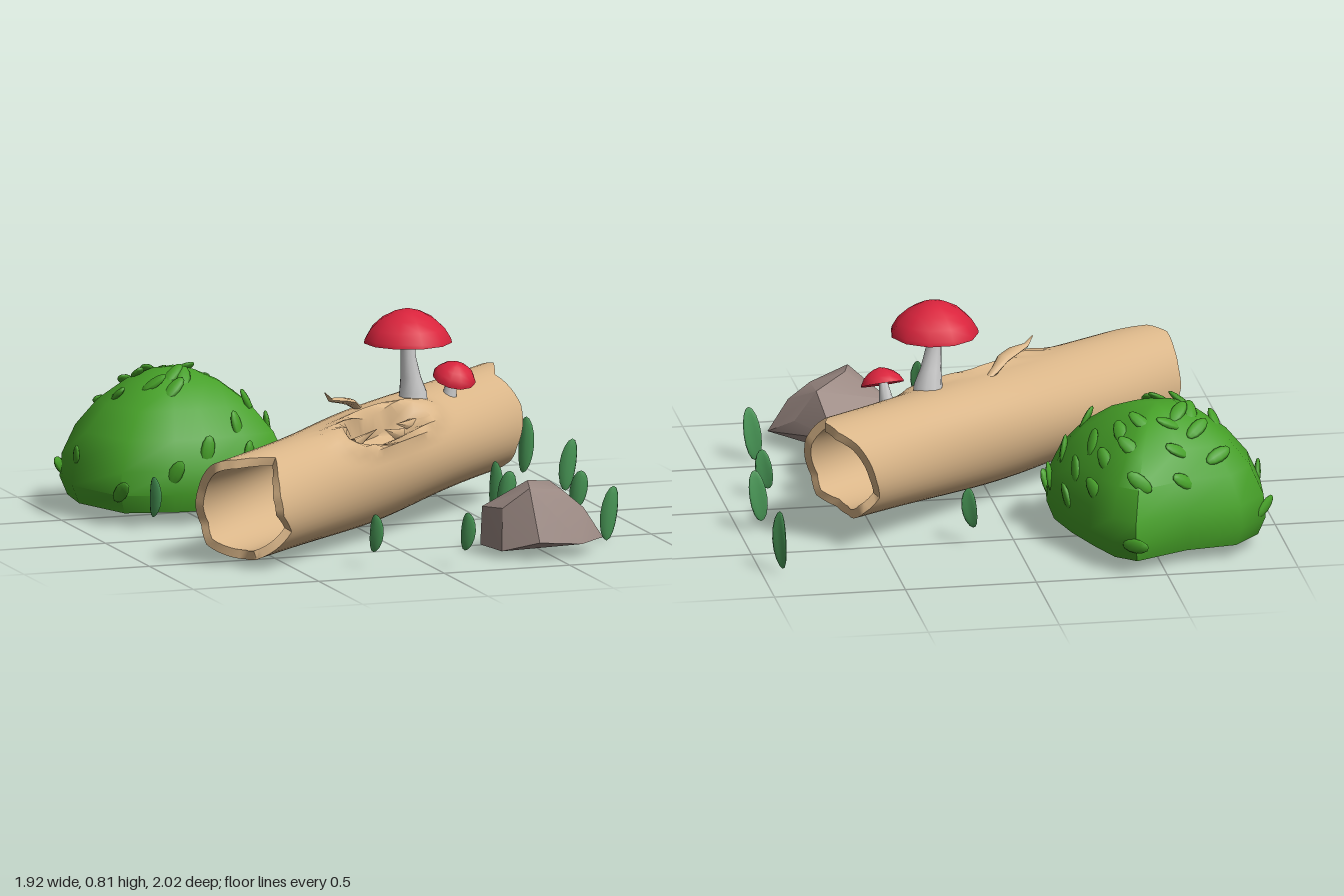
import * as THREE from 'three';
import { toCreasedNormals } from 'three/addons/utils/BufferGeometryUtils.js';
import { ConvexGeometry } from 'three/addons/geometries/ConvexGeometry.js';

const mat = (color) => new THREE.MeshStandardMaterial({ color, side: THREE.DoubleSide });
const wood = mat(0xd9b588), green = mat(0x46a028), blade = mat(0x4a9a58);
const red = mat(0xd9233c), stone = mat(0x9a8882), grey = mat(0xcccccc);

function add(parent, name, geometry, material) {
  const mesh = new THREE.Mesh(geometry, material);
  mesh.name = name;
  parent.add(mesh);
  return mesh;
}

// Skin over rings of [x, y, z]; closed joins the last ring to the first
function loft(rings, closed = false, crease = 0.9) {
  const n = rings[0].length, m = rings.length, index = [];
  for (let j = 0; j < (closed ? m : m - 1); j++) {
    for (let i = 0; i < n; i++) {
      const a = j * n + i, b = j * n + (i + 1) % n;
      const k = ((j + 1) % m) * n, c = k + i, d = k + (i + 1) % n;
      index.push(a, c, b, b, c, d);
    }
  }
  const g = new THREE.BufferGeometry();
  g.setAttribute('position', new THREE.Float32BufferAttribute(rings.flat(2), 3));
  g.setIndex(index);
  return toCreasedNormals(g, crease);
}

const ringOf = (n, fn) => Array.from({ length: n }, (_, i) => fn(i * 2 * Math.PI / n));

// Upright tapered stem from [x, y, z, radius] stations
const stem = (stations) => loft(stations.map(([x, y, z, r]) =>
  ringOf(10, (f) => [x + r * Math.cos(f), y, z + r * Math.sin(f)])));

// Value from a table spread around the circle
function around(table, f) {
  const s = f / (2 * Math.PI) * table.length, i = Math.floor(s);
  return THREE.MathUtils.lerp(table[i % table.length], table[(i + 1) % table.length], s - i);
}

function makeLog() {
  const log = new THREE.Group();
  log.name = 'log';
  log.position.set(-0.01, 0, 0.1);
  log.rotation.y = 0.675;

  // Jagged end lengths around the trunk
  const left = [.876, .87, .82, .74, .9, .93, .9, .88, .874, .85, .88, .85, .83, .87, .84, .8];
  const right = [.824, .84, .83, .82, .93, .94, .9, .88, .862, .83, .87, .85, .8, .78, .82, .8];
  const steps = 44, sides = 48;
  const centreY = (t) => 0.268 + 0.045 * t;
  const radius = (t, f) => {
    const d = Math.hypot((t + 0.03) / 0.28, (f - 0.96) / 0.4);
    let r = 0.197 + 0.018 * Math.exp(-t * t * 6) + 0.004 * Math.sin(3 * f + 4 * t);
    r += 0.018 * Math.exp(-(((d - 1.15) / 0.22) ** 2));
    return r - 0.1 * THREE.MathUtils.smoothstep(1 - d, 0, 0.45);
  };
  const ring = (s, wall) => ringOf(sides, (f) => {
    const t = THREE.MathUtils.lerp(-around(left, f), around(right, f), s);
    const r = radius(t, f) - wall;
    return [t, centreY(t) + r * Math.sin(f), r * Math.cos(f)];
  });
  const rings = [];
  for (let j = 0; j <= steps; j++) rings.push(ring(j / steps, 0));
  for (let j = steps; j >= 0; j--) rings.push(ring(j / steps, 0.035));
  add(log, 'hollowTrunk', loft(rings, true), wood);

  // Peeling splinter: [along, y, across, half width, half thickness]
  const peel = [[-.21, .57, -.035, .003, .003], [-.18, .54, -.03, .012, .008], [-.12, .53, -.02, .03, .012],
    [-.06, .515, -.02, .03, .014], [.0, .49, -.035, .02, .014], [.06, .46, -.04, .01, .01]];
  add(log, 'peelingBark', loft(peel.map(([t, y, p, w, h]) =>
    ringOf(8, (f) => [t, y + h * Math.sin(f), p + w * Math.cos(f)]))), wood);

  // Splinters leaning across the hollow
  for (const [t, y, p, len, tilt] of [[-.14, .405, .1, .16, -1.3], [.02, .4, .12, .14, 1.25], [.14, .41, .1, .14, 1.4]]) {
    const s = add(log, 'splinter', new THREE.ConeGeometry(0.03, len, 5), wood);
    s.position.set(t, y, p);
    s.rotation.set(0.3, 0, tilt);
    s.scale.z = 0.7;
  }
  return log;
}

function makeMushroom(name, radius, height, capAt, tilt, stations) {
  const g = new THREE.Group();
  g.name = name;
  const profile = [[0, .12], [.5, .09], [.93, .02], [1, 0], [.98, .12], [.84, .42], [.6, .7], [.3, .9], [0, 1]]
    .map(([x, y]) => new THREE.Vector2(x * radius, y * height));
  const cap = add(g, 'mushroomCap', toCreasedNormals(new THREE.LatheGeometry(profile, 11), 0.75), red);
  cap.position.set(...capAt);
  cap.rotation.set(...tilt);
  add(g, 'mushroomStem', stem(stations), grey);
  return g;
}

function makeBush() {
  const bush = new THREE.Group();
  bush.name = 'bush';
  const outline = [[-.38, -1], [-.3, -.93], [-.24, -.78], [-.18, -.6], [-.14, -.42], [-.16, -.3], [-.32, -.25],
    [-.5, -.22], [-.64, -.23], [-.84, -.28], [-.94, -.55], [-.92, -.75], [-.81, -.87], [-.6, -.9]];
  const cx = -0.53, cz = -0.58;
  // [height, scale of outline]
  const levels = [[.055, 0], [.055, .5], [.06, .93], [.13, 1], [.22, .98], [.33, .86], [.43, .66], [.51, .4], [.545, .2], [.555, 0]];
  const at = ([x, z], [y, s]) => [cx + (x - cx) * s, y, cz + (z - cz) * s];
  add(bush, 'foliage', loft(levels.map((l) => outline.map((p) => at(p, l))), false, 1.0), green);

  // Small leaves scattered over the dome, pointing up and outward
  const leaf = new THREE.SphereGeometry(1, 8, 6);
  leaf.scale(0.028, 0.058, 0.013);
  for (let i = 0; i < 34; i++) {
    const level = 3 + (i * 0.618 % 1) * 5, k = Math.floor(level), w = level - k;
    const l = [0, 1].map((c) => THREE.MathUtils.lerp(levels[k][c], levels[k + 1][c], w));
    const p = new THREE.Vector3(...at(outline[(i * 5 + Math.floor(i / 14)) % 14], l));
    const m = add(bush, 'bushLeaf', leaf, green);
    m.position.copy(p);
    m.lookAt(p.clone().add(new THREE.Vector3((p.x - cx) * 1.2, (p.y - 0.12) * 1.1, (p.z - cz) * 1.2)));
    m.rotateZ((i * 1.9) % 3 - 1.5);
    m.rotateX(0.4);
  }
  return bush;
}

function makeRock() {
  const points = [[.52, .12, .44], [.5, .05, .5], [.27, .04, .64], [.27, .19, .66], [.3, .04, .8], [.31, .2, .78],
    [.42, .08, .89], [.4, .28, .83], [.43, .29, .72], [.56, .26, .6], [.56, .25, .74], [.6, .06, .86],
    [.64, .14, .62], [.64, .18, .76], [.72, .06, .75], [.48, .025, .7]].map((p) => new THREE.Vector3(...p));
  return toCreasedNormals(new ConvexGeometry(points), 0.55);
}

export function createModel() {
  const model = new THREE.Group();
  model.name = 'forestLog';
  model.add(makeLog(), makeBush());
  model.add(makeMushroom('largeMushroom', 0.168, 0.13, [.225, .695, -.058], [0, 0, 0],
    [[.25, .45, -.07, .06], [.25, .5, -.068, .054], [.238, .56, -.06, .04], [.225, .64, -.05, .03], [.22, .72, -.048, .028]]));
  model.add(makeMushroom('smallMushroom', 0.083, 0.065, [.437, .53, -.135], [0.4, 0, -0.08],
    [[.42, .43, -.15, .032], [.425, .48, -.147, .026], [.435, .55, -.135, .015]]));
  add(model, 'rock', makeRock(), stone);

  // Curved grass blades: [x, z, bottom, height, turn]
  const grass = new THREE.SphereGeometry(1, 10, 8);
  const pos = grass.attributes.position;
  for (let i = 0; i < pos.count; i++) {
    const x = pos.getX(i), y = pos.getY(i), z = pos.getZ(i);
    pos.setXYZ(i, x * 0.034 + y * 0.012, y * 0.5, z * 0.011 - (x * x - 0.4) * 0.014 + y * 0.006);
  }
  grass.computeVertexNormals();
  for (const [x, z, y, h, turn] of [[.93, -.73, .03, .22, -.9], [.93, -.24, .05, .2, 0], [.84, .13, .05, .15, -.45],
    [.81, .57, .01, .21, 0], [.54, .04, .04, .2, -1.1], [.53, .2, .08, .15, -.4], [.17, -.53, .08, .15, -.7],
    [-.74, -.18, .06, .16, -1.3], [-.48, -.03, .04, .19, -1.3], [-.6, -.28, .07, .2, -1.5],
    [-.21, .82, .07, .15, -1.1], [.11, .95, .08, .15, -1]]) {
    const b = add(model, 'grassBlade', grass, blade);
    b.position.set(x, y + h / 2, z);
    b.scale.y = h;
    b.rotation.y = turn;
  }
  return model;
}
